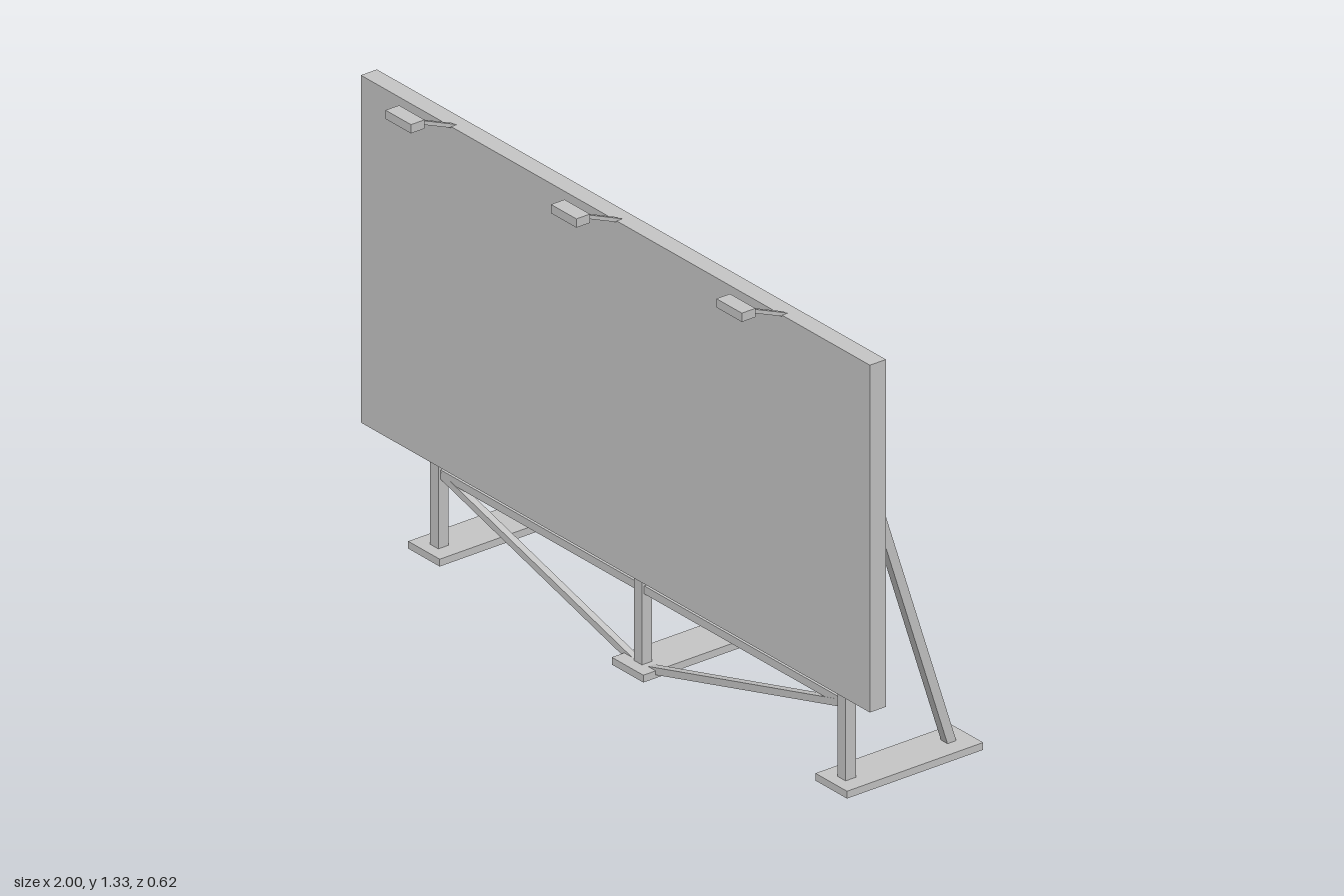
import * as THREE from 'three';

export function createModel() {
  const model = new THREE.Group();
  model.name = 'billboard';
  const grey = new THREE.MeshStandardMaterial({ color: 0xc6c6c6 });
  grey.name = 'light grey';

  // Box given by its size and centre
  function box(name, w, h, d, x, y, z, parent = model) {
    const mesh = new THREE.Mesh(new THREE.BoxGeometry(w, h, d), grey);
    mesh.name = name;
    mesh.position.set(x, y, z);
    parent.add(mesh);
    return mesh;
  }

  // Square bar running between two points
  function bar(name, thickness, from, to, parent = model) {
    const a = new THREE.Vector3(...from);
    const b = new THREE.Vector3(...to);
    const dir = b.clone().sub(a);
    const mid = a.clone().add(b).multiplyScalar(0.5);
    const mesh = box(name, thickness, dir.length(), thickness, mid.x, mid.y, mid.z, parent);
    mesh.quaternion.setFromUnitVectors(new THREE.Vector3(0, 1, 0), dir.normalize());
    return mesh;
  }

  const postZ = 0.064;

  // Display panel
  box('panel', 2, 0.95, 0.05, 0, 0.785, 0.125);

  // Three supports: foot plate, upright post and sloping rear brace
  for (const x of [-0.8, 0, 0.8]) {
    const support = new THREE.Group();
    support.name = 'support';
    model.add(support);
    box('footPlate', 0.124, 0.02, 0.424, x, 0.018, -0.1, support);
    box('post', 0.032, 1.146, 0.032, x, 0.584, postZ, support);
    bar('rearBrace', 0.026, [x, 0.011, -0.259], [x, 0.984, 0.054], support);
  }

  // Cross beam and diagonal struts between the posts
  box('crossBeam', 1.6, 0.022, 0.022, 0, 0.231, 0.062);
  for (const side of [-1, 1]) {
    bar('diagonalStrut', 0.019, [0, 0.0095, postZ], [side * 0.8, 0.231, postZ]);
  }

  // Lamps on arms above the panel
  for (const x of [-0.65, 0, 0.65]) {
    const lamp = new THREE.Group();
    lamp.name = 'lamp';
    model.add(lamp);
    bar('lampArm', 0.01, [x, 1.256, 0.135], [x, 1.318, 0.285], lamp);
    box('lampHead', 0.1, 0.024, 0.042, x, 1.322, 0.29, lamp);
  }

  return model;
}
